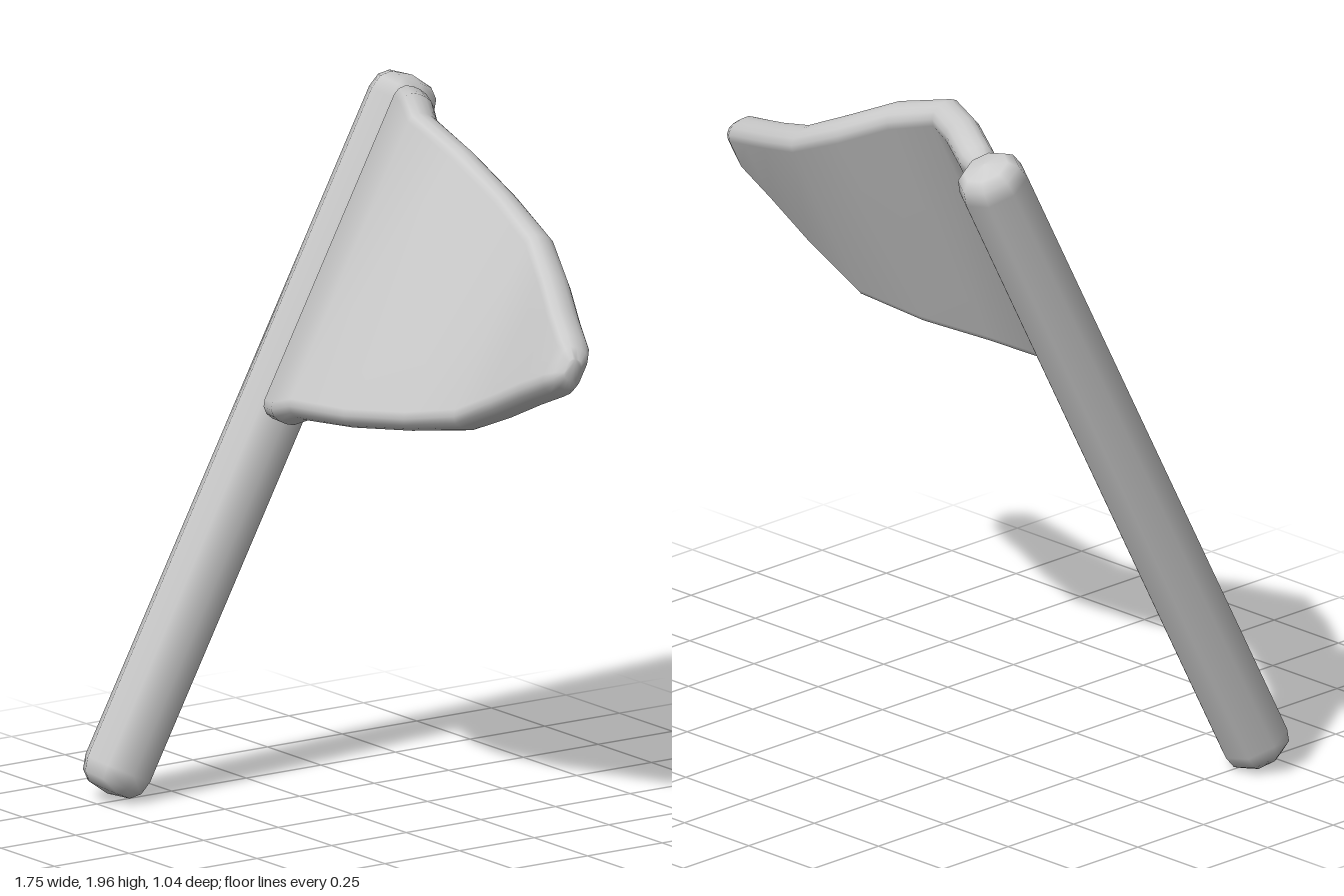
import * as THREE from 'three';

const material = new THREE.MeshStandardMaterial({ color: 0xcccccc });

// Local frame: x runs out along the flag, y up the pole, z out of the flag's front.

// Eight-sided pole with softly bevelled ends
function createPole() {
  const bottom = -1.615, top = 0.515;
  const profile = [
    [0, bottom], [0.065, bottom + 0.012], [0.09, bottom + 0.035], [0.1, bottom + 0.075],
    [0.1, top - 0.075], [0.09, top - 0.035], [0.065, top - 0.012], [0, top],
  ].map(([r, y]) => new THREE.Vector2(r, y));
  const pole = new THREE.Mesh(new THREE.LatheGeometry(profile, 8), material);
  pole.name = 'pole';
  return pole;
}

// Waving pennant: rounded-rectangle sections lofted along the wave
function createFlag() {
  // [distance from pole, half height, wave offset, half thickness]
  const stations = [
    [0.085, 0.46, 0.025, 0.022], [0.097, 0.482, 0.03, 0.04], [0.125, 0.492, 0.04, 0.05],
    [0.28, 0.485, 0.1, 0.05], [0.44, 0.45, 0.147, 0.05], [0.63, 0.41, 0.093, 0.05],
    [0.81, 0.35, 0.018, 0.05], [0.99, 0.285, -0.033, 0.05], [1.19, 0.205, -0.014, 0.05],
    [1.36, 0.135, 0.01, 0.05], [1.49, 0.085, 0.026, 0.05], [1.53, 0.06, 0.031, 0.04],
    [1.552, 0.03, 0.034, 0.02],
  ];
  const arcSteps = 3;
  const ring = 4 * (arcSteps + 1);
  const positions = [];
  const indices = [];

  stations.forEach(([x, h, z, t], i) => {
    const a = stations[Math.max(i - 1, 0)];
    const b = stations[Math.min(i + 1, stations.length - 1)];
    const slope = Math.atan2(b[2] - a[2], b[0] - a[0]);
    const r = Math.min(0.04, t * 0.8, h * 0.8);
    for (let corner = 0; corner < 4; corner++) {
      const sy = corner === 0 || corner === 3 ? 1 : -1;
      const sz = corner < 2 ? 1 : -1;
      for (let k = 0; k <= arcSteps; k++) {
        const angle = (corner + k / arcSteps) * Math.PI / 2;
        const y = sy * (h - r) + r * Math.cos(angle);
        const n = sz * (t - r) + r * Math.sin(angle);
        positions.push(x - n * Math.sin(slope), y, z + n * Math.cos(slope));
      }
    }
  });

  for (let i = 0; i < stations.length - 1; i++) {
    for (let j = 0; j < ring; j++) {
      const a = i * ring + j, b = i * ring + (j + 1) % ring;
      indices.push(a, b, a + ring, b, b + ring, a + ring);
    }
  }
  // End caps
  const last = (stations.length - 1) * ring;
  for (let j = 1; j < ring - 1; j++) {
    indices.push(0, j + 1, j, last, last + j, last + j + 1);
  }

  const geometry = new THREE.BufferGeometry();
  geometry.setAttribute('position', new THREE.Float32BufferAttribute(positions, 3));
  geometry.setIndex(indices);
  geometry.computeVertexNormals();
  const flag = new THREE.Mesh(geometry, material);
  flag.name = 'flag';
  return flag;
}

export function createModel() {
  const tilted = new THREE.Group();
  tilted.name = 'tiltedFlagpole';
  tilted.add(createPole(), createFlag());

  // Lean the pole back and turn the flag slightly forward
  const up = new THREE.Vector3(0.163, 1.92, -0.905).normalize();
  const front = new THREE.Vector3(0.985, 0, 0.175).cross(up).normalize();
  const out = up.clone().cross(front);
  tilted.quaternion.setFromRotationMatrix(new THREE.Matrix4().makeBasis(out, up, front));
  tilted.position.set(-0.651, 1.5, -0.238);

  const model = new THREE.Group();
  model.name = 'pennantFlag';
  model.add(tilted);
  return model;
}
